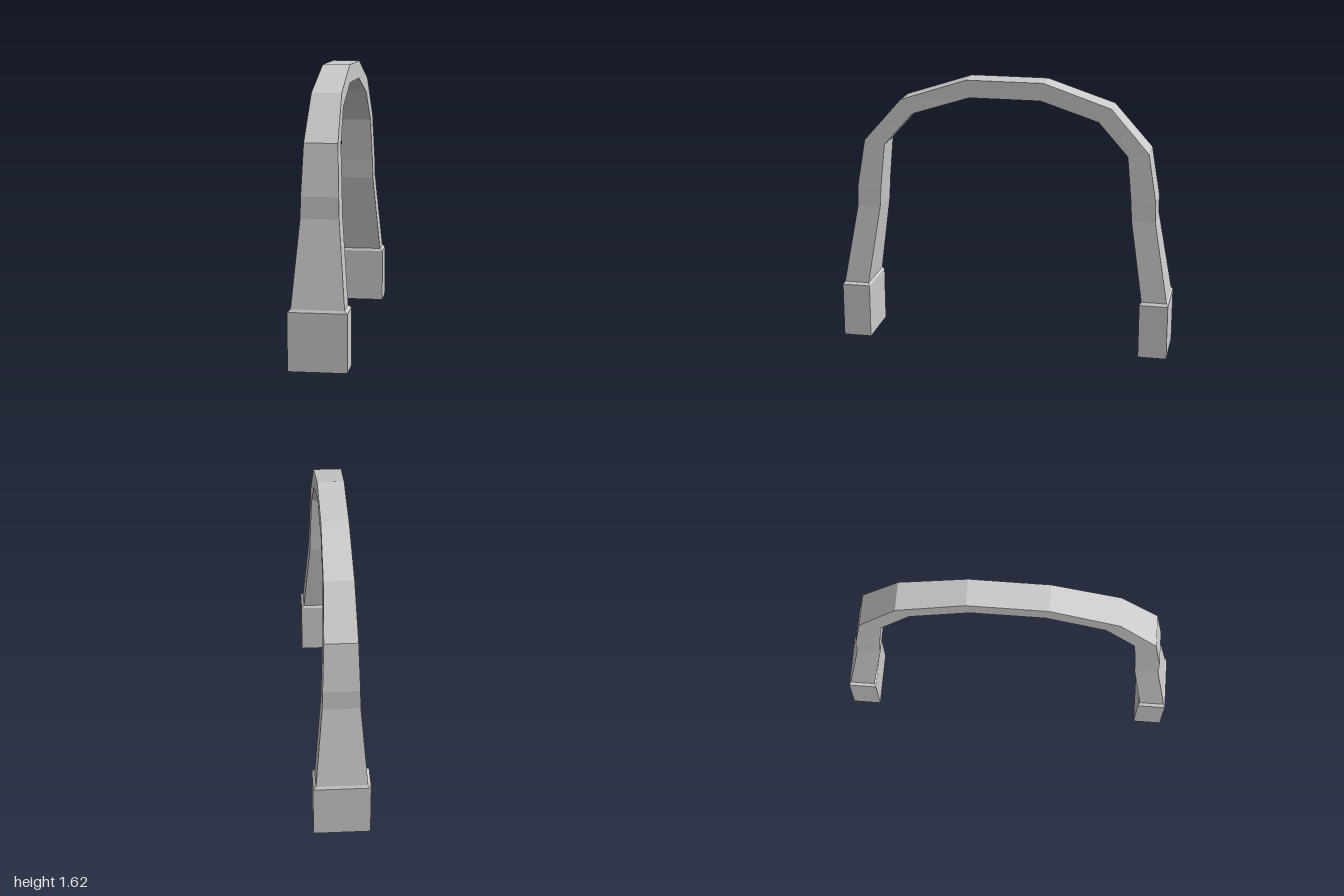
import * as THREE from 'three';

// Cross-sections from the ground to the crown: [outer z, outer y, inner z, inner y, half width]
const FOOT = [
  [1.0, 0, 0.83, 0, 0.165],
  [1.0, 0.33, 0.83, 0.33, 0.165],
  [0.99, 0.345, 0.84, 0.345, 0.148],
];
const HALF_ARCH = [
  FOOT[2],
  [0.905, 0.83, 0.765, 0.83, 0.107],
  [0.903, 0.95, 0.758, 0.95, 0.104],
  [0.855, 1.237, 0.732, 1.215, 0.094],
  [0.63, 1.492, 0.557, 1.41, 0.085],
  [0.23, 1.625, 0.212, 1.52, 0.079],
];

// Skins a row of rectangular sections, optionally closing the first one
function skin(sections, capStart) {
  const rings = sections.map(([oz, oy, iz, iy, w]) => [
    [w, oy, oz], [-w, oy, oz], [-w, iy, iz], [w, iy, iz],
  ]);
  const pos = [];
  const quad = (a, b, c, d) => pos.push(...a, ...b, ...c, ...a, ...c, ...d);
  for (let i = 0; i < rings.length - 1; i++) {
    for (let j = 0; j < 4; j++) {
      const k = (j + 1) % 4;
      quad(rings[i][k], rings[i][j], rings[i + 1][j], rings[i + 1][k]);
    }
  }
  if (capStart) quad(...rings[0]);
  const geo = new THREE.BufferGeometry();
  geo.setAttribute('position', new THREE.Float32BufferAttribute(pos, 3));
  geo.computeVertexNormals();
  return geo;
}

export function createModel() {
  const group = new THREE.Group();
  group.name = 'archway';
  const material = new THREE.MeshStandardMaterial({ color: 0xcccccc, flatShading: true });

  // Tapered arch band, mirrored front to back
  const backHalf = HALF_ARCH.map(([oz, oy, iz, iy, w]) => [-oz, oy, -iz, iy, w]).reverse();
  const arch = new THREE.Mesh(skin([...HALF_ARCH, ...backHalf], false), material);
  arch.name = 'arch';
  group.add(arch);

  // Chamfered foot blocks
  const footGeo = skin(FOOT, true);
  ['frontFoot', 'backFoot'].forEach((name, i) => {
    const foot = new THREE.Mesh(footGeo, material);
    foot.name = name;
    foot.rotation.y = i * Math.PI;
    group.add(foot);
  });

  return group;
}
